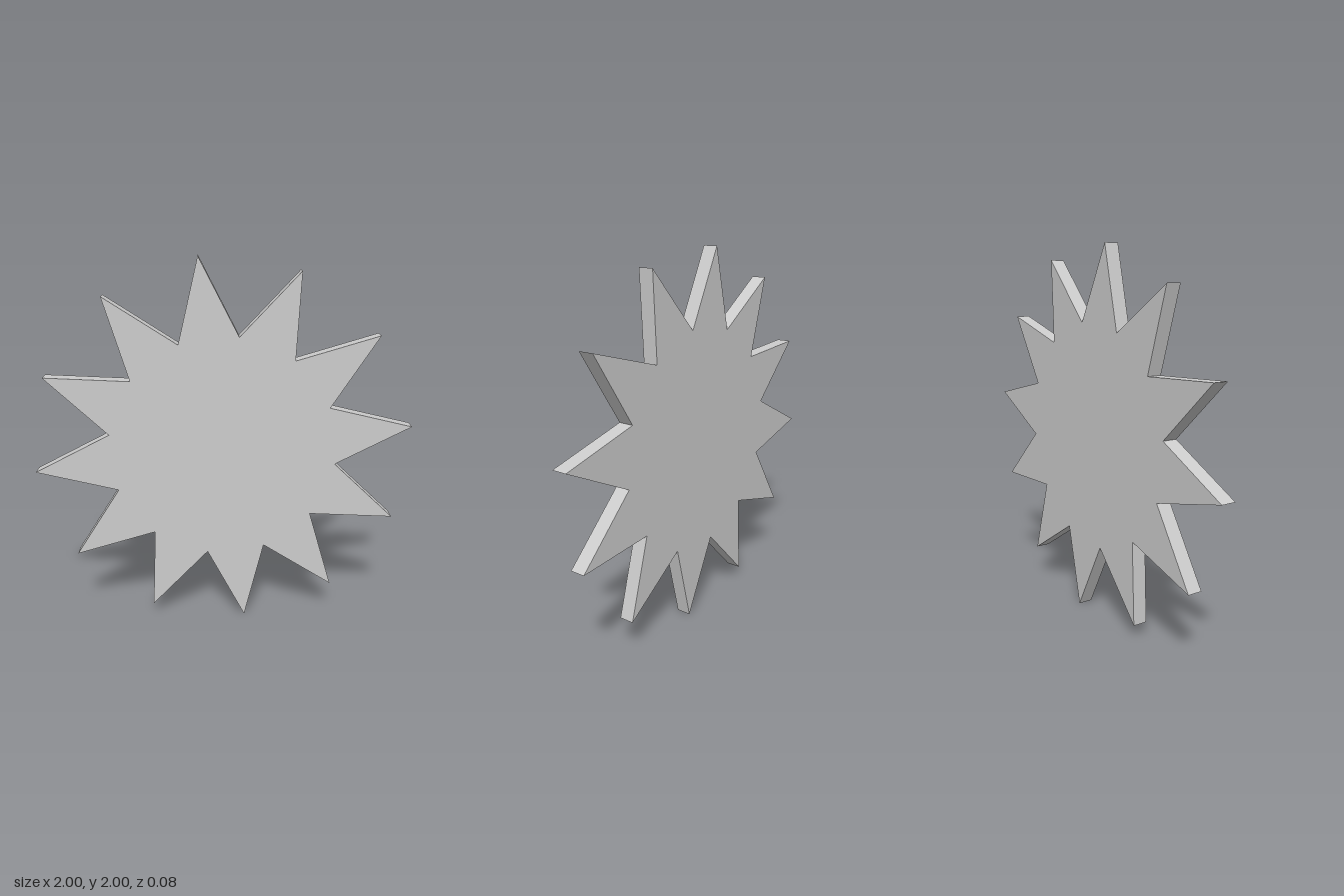
import * as THREE from 'three';

export function createModel() {
  const group = new THREE.Group();
  const points = 12, outer = 1.006, inner = 0.605, depth = 0.08;
  const tilt = THREE.MathUtils.degToRad(7);

  // Star outline: tips and notches alternate around the centre
  const outline = [];
  for (let i = 0; i < points * 2; i++) {
    const a = tilt + (i * Math.PI) / points;
    const r = i % 2 ? inner : outer;
    outline.push(new THREE.Vector2(r * Math.cos(a), r * Math.sin(a)));
  }

  // Flat plate with sharp edges
  const geometry = new THREE.ExtrudeGeometry(new THREE.Shape(outline), { depth, bevelEnabled: false });
  geometry.translate(0, 0, -depth / 2);
  const star = new THREE.Mesh(
    geometry,
    new THREE.MeshStandardMaterial({ color: 0xcccccc, flatShading: true })
  );
  star.name = 'starPlate';
  star.position.y = 1;
  group.add(star);
  return group;
}
